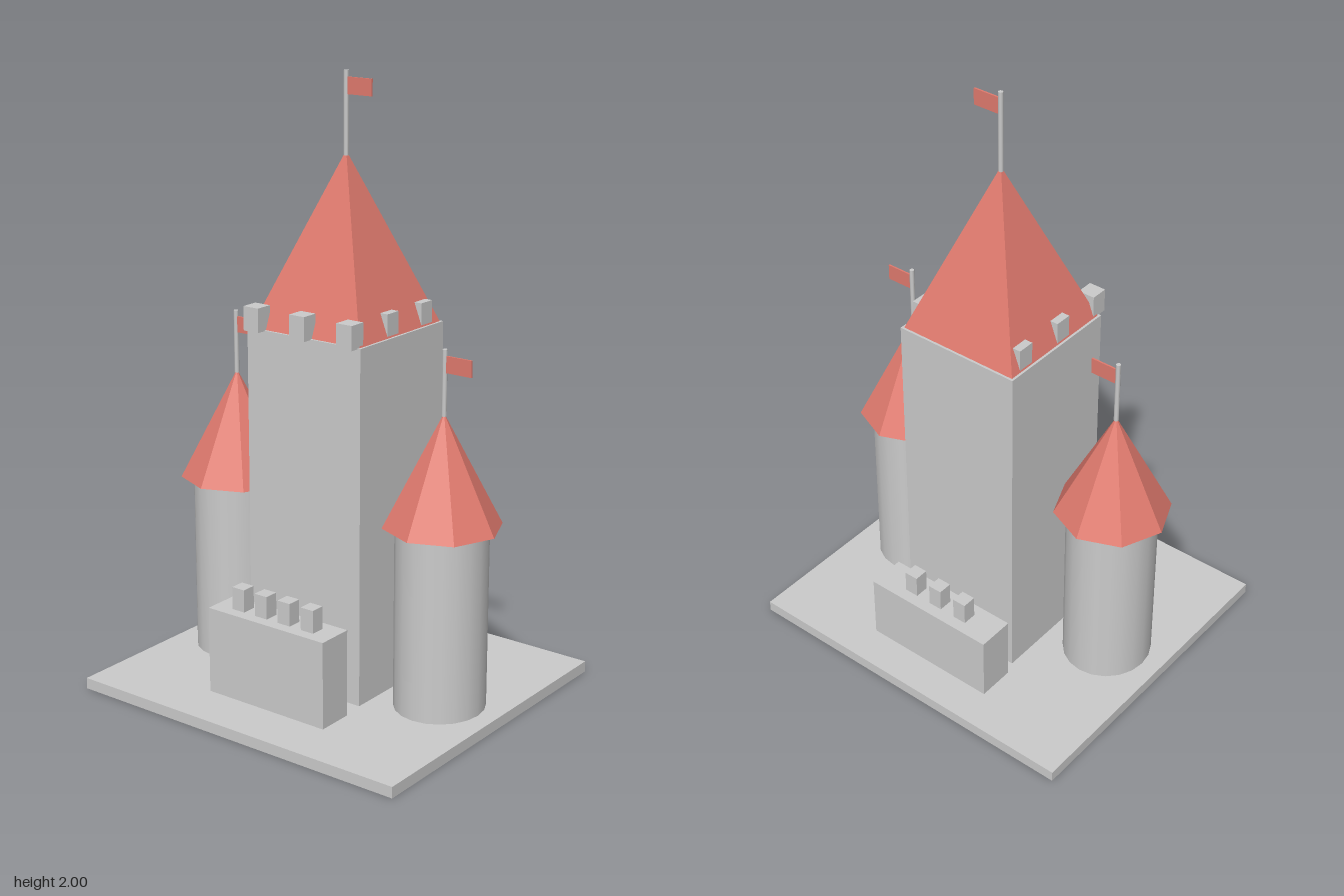
import * as THREE from 'three';

export function createModel() {
  const castle = new THREE.Group();
  castle.name = 'castle';

  const stone = new THREE.MeshStandardMaterial({ color: 0xcccccc });
  const red = new THREE.MeshStandardMaterial({ color: 0xe07a6e, flatShading: true });

  function add(parent, name, geometry, material, x, y, z) {
    const mesh = new THREE.Mesh(geometry, material);
    mesh.name = name;
    mesh.position.set(x, y, z);
    parent.add(mesh);
    return mesh;
  }

  // Box standing on the height y
  function block(parent, name, w, h, d, x, y, z, material = stone) {
    return add(parent, name, new THREE.BoxGeometry(w, h, d), material, x, y + h / 2, z);
  }

  function group(name) {
    const g = new THREE.Group();
    g.name = name;
    castle.add(g);
    return g;
  }

  // Pole with a small pennant pointing to +x
  function flag(parent, x, y, z, top) {
    const h = top - y;
    add(parent, 'flagPole', new THREE.CylinderGeometry(0.008, 0.008, h, 8), stone, x, y + h / 2, z);
    block(parent, 'flag', 0.095, 0.053, 0.006, x + 0.05, top - 0.073, z, red);
  }

  // Low wall with a row of merlons
  function wall(name, w, h, d, z, merlonXs) {
    const g = group(name);
    block(g, 'wallBody', w, h, d, 0, 0.03, z);
    for (const x of merlonXs) block(g, 'merlon', 0.048, 0.085, 0.048, x, h + 0.02, z);
  }

  // Ground slab
  block(castle, 'base', 1.23, 0.037, 1.102, 0, 0, 0);

  // Square keep with pyramid roof
  const keep = group('keep');
  const keepZ = -0.039;
  block(keep, 'keepBody', 0.44, 1.175, 0.44, 0, 0.03, keepZ);
  const roof = add(keep, 'keepRoof', new THREE.ConeGeometry(0.212 * Math.SQRT2, 0.55, 4), red, 0, 1.205 + 0.275, keepZ);
  roof.rotation.y = Math.PI / 4;
  flag(keep, 0, 1.74, keepZ, 2);

  // Merlons around the keep's top, on the front and both sides
  for (const x of [-0.181, 0, 0.181]) {
    for (const z of [-0.181, 0, 0.182]) {
      if (x === 0 && z < 0.1) continue;
      block(keep, 'merlon', 0.058, 0.078, 0.058, x, 1.203, z);
    }
  }

  // Round side towers with eight-sided roofs
  for (const side of [-1, 1]) {
    const tower = group(side < 0 ? 'rightTower' : 'leftTower');
    const x = side * 0.411, z = 0.011;
    const body = add(tower, 'towerBody', new THREE.CylinderGeometry(1, 1, 0.63, 20), stone, x, 0.01 + 0.315, z);
    body.scale.set(0.145, 1, 0.153);
    add(tower, 'towerRoof', new THREE.ConeGeometry(0.19, 0.363, 8), red, x, 0.637 + 0.1815, z);
    flag(tower, x, 0.99, z, 1.2);
  }

  // Front and back walls
  wall('frontWall', 0.458, 0.295, 0.124, 0.318, [-0.138, -0.046, 0.046, 0.138]);
  wall('backWall', 0.472, 0.23, 0.126, -0.362, [-0.102, 0, 0.102]);

  return castle;
}
